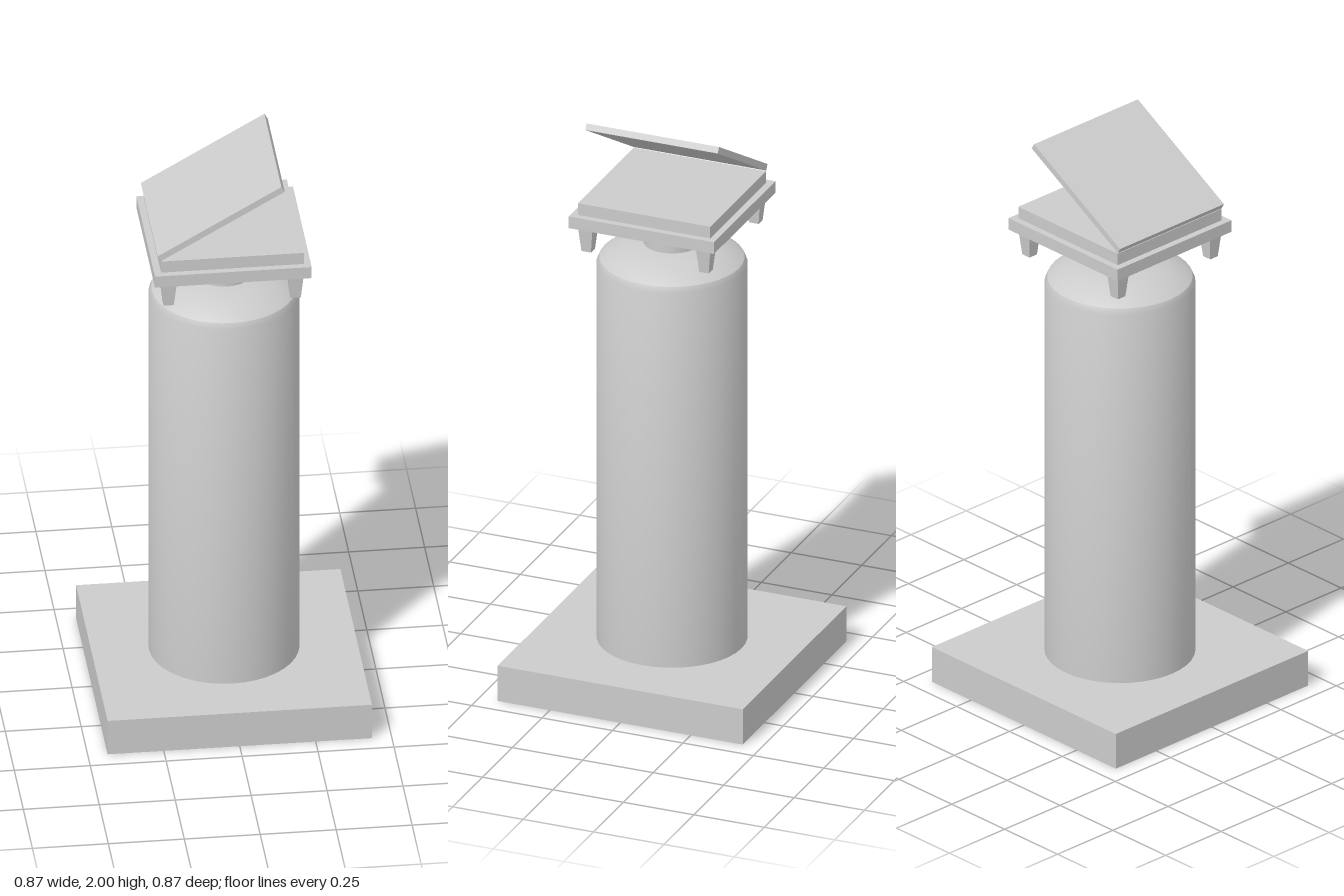
import * as THREE from 'three';
import { toCreasedNormals } from 'three/addons/utils/BufferGeometryUtils.js';

const material = new THREE.MeshStandardMaterial({ color: 0xcccccc });

function part(name, geometry, x = 0, y = 0, z = 0) {
  const mesh = new THREE.Mesh(geometry, material);
  mesh.name = name;
  mesh.position.set(x, y, z);
  return mesh;
}

// Square slab given by its bottom and top heights
function slab(name, width, y0, y1) {
  return part(name, new THREE.BoxGeometry(width, y1 - y0, width), 0, (y0 + y1) / 2, 0);
}

function turned(name, profile) {
  const points = profile.map(([r, y]) => new THREE.Vector2(r, y));
  return part(name, toCreasedNormals(new THREE.LatheGeometry(points, 40), 0.45));
}

export function createModel() {
  const model = new THREE.Group();

  // Square plinth
  model.add(slab('base', 0.87, 0, 0.127));

  // Column with rounded shoulder
  model.add(turned('column', [
    [0, 0.127], [0.247, 0.127], [0.247, 1.475], [0.238, 1.495],
    [0.21, 1.515], [0.16, 1.535], [0.1, 1.548], [0, 1.548],
  ]));

  // Neck flaring into a collar below the tray
  model.add(turned('neck', [
    [0.093, 1.545], [0.093, 1.597], [0.108, 1.615], [0.108, 1.662], [0, 1.662],
  ]));

  // Stepped square box on top
  model.add(slab('trayRim', 0.516, 1.66, 1.702));
  model.add(slab('trayTop', 0.47, 1.702, 1.744));

  // Four tapered feet hanging from the tray corners
  const footGeometry = new THREE.CylinderGeometry(0.026 * Math.SQRT2, 0.017 * Math.SQRT2, 0.09, 4, 1)
    .rotateY(Math.PI / 4).toNonIndexed();
  footGeometry.computeVertexNormals();
  for (const x of [-1, 1]) {
    for (const z of [-1, 1]) {
      model.add(part('foot', footGeometry, x * 0.209, 1.615, z * 0.209));
    }
  }

  // Open lid hinged on the right edge
  const lidGeometry = new THREE.BoxGeometry(0.47, 0.022, 0.47).translate(0.235, 0.011, 0);
  const lid = part('lid', lidGeometry, -0.235, 1.746, 0);
  lid.rotation.z = Math.PI / 6;
  model.add(lid);

  return model;
}
